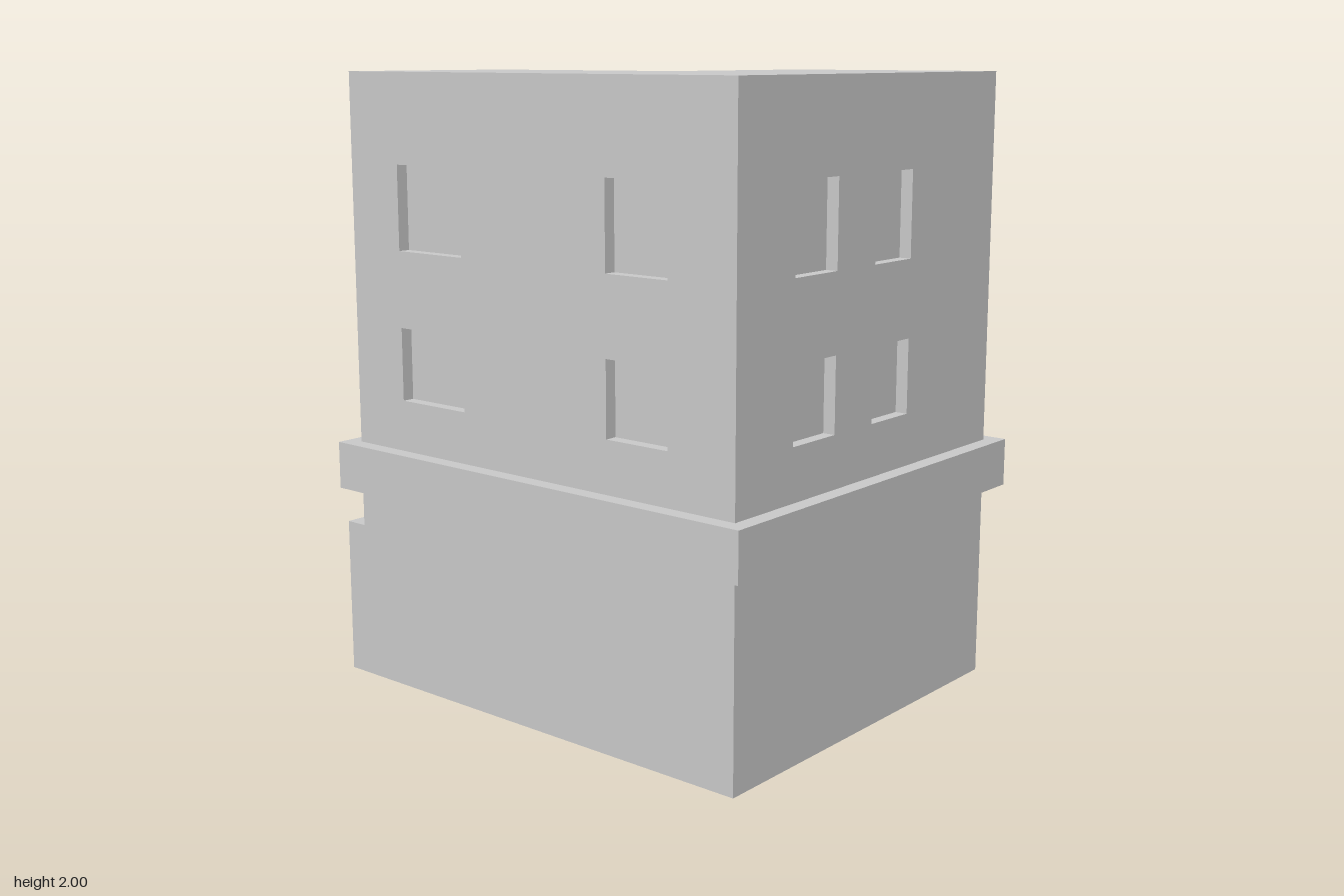
import * as THREE from 'three';

const material = new THREE.MeshStandardMaterial({ color: 0xcccccc, side: THREE.DoubleSide });

// L-shaped footprint: x, z and the outward direction at each corner
const CORNERS = [
  [-0.765, 0.67, -1, 1], [0.79, 0.67, 1, 1], [0.79, -0.67, 1, -1],
  [0.01, -0.67, -1, -1], [0.01, 0, -1, -1], [-0.765, 0, -1, -1],
];
const footprint = (offset) => CORNERS.map(([x, z, sx, sz]) => [x + sx * offset, z + sz * offset]);

const RECESS = 0.04;
const FLOORS = [[0.965, 1.2], [1.445, 1.715]];

function addMesh(parent, name, geometry) {
  const mesh = new THREE.Mesh(geometry, material);
  mesh.name = name;
  parent.add(mesh);
  return mesh;
}

const rectPoints = (x0, x1, y0, y1) => [[x0, y0], [x1, y0], [x1, y1], [x0, y1]]
  .map(([x, y]) => new THREE.Vector2(x, y));

// Box without its outer (+z) face, set behind an opening
function recessGeometry(x0, x1, y0, y1) {
  const box = new THREE.BoxGeometry(x1 - x0, y1 - y0, RECESS);
  const index = Array.from(box.index.array);
  index.splice(24, 6);
  box.setIndex(index);
  box.clearGroups();
  return box.translate((x0 + x1) / 2, (y0 + y1) / 2, -RECESS / 2);
}

// Upright wall from a to b (left to right seen from outside), openings measured from a
function addWall(parent, name, a, b, y0, y1, openings = [], openingName = 'window') {
  const wall = new THREE.Group();
  wall.name = name;
  const dx = b[0] - a[0], dz = b[1] - a[1];
  wall.position.set(a[0], 0, a[1]);
  wall.rotation.y = Math.atan2(-dz, dx);
  const shape = new THREE.Shape(rectPoints(0, Math.hypot(dx, dz), y0, y1));
  for (const o of openings) {
    shape.holes.push(new THREE.Path(rectPoints(...o)));
    addMesh(wall, openingName, recessGeometry(...o));
  }
  addMesh(wall, name + 'Face', new THREE.ShapeGeometry(shape));
  parent.add(wall);
}

// Level sheet from an outline, with an optional hole
function addSheet(parent, name, outline, y, hole) {
  const toVectors = (pts) => pts.map(([x, z]) => new THREE.Vector2(x, -z));
  const shape = new THREE.Shape(toVectors(outline));
  if (hole) shape.holes.push(new THREE.Path(toVectors(hole)));
  const sheet = addMesh(parent, name, new THREE.ShapeGeometry(shape).rotateX(-Math.PI / 2));
  sheet.position.y = y;
}

export function createModel() {
  const model = new THREE.Group();
  model.name = 'building';
  const plan = footprint(0);
  const next = (pts, i) => pts[(i + 1) % pts.length];

  // Upper storeys: window columns per wall, the end wall is left open
  const columns = [
    [[0.215, 0.495], [1.085, 1.315]],
    [[0.265, 0.47], [0.665, 0.86]],
    [[0.24, 0.48]],
    [[0.21, 0.48]],
    [[0.28, 0.56]],
  ];
  columns.forEach((cols, i) => {
    const windows = cols.flatMap((c) => FLOORS.map((f) => [...c, ...f]));
    addWall(model, 'upperWall', plan[i], next(plan, i), 0.8, 2, windows);
  });
  addSheet(model, 'roof', plan, 2);

  // Ground floor, with the door in the inner corner wall
  for (let i = 0; i < 5; i++) {
    const door = i === 3 ? [[0.21, 0.48, 0.005, 0.51]] : [];
    addWall(model, 'groundWall', plan[i], next(plan, i), 0, 0.645, door, 'door');
  }
  addWall(model, 'groundEndWall', plan[5], plan[0], 0.515, 0.645);

  // Low extension on the open end
  const ext = [[-0.765, 0], [-0.845, 0], [-0.845, 0.67], [-0.765, 0.67]];
  for (let i = 0; i < 3; i++) addWall(model, 'extensionWall', ext[i], ext[i + 1], 0, 0.515);
  addSheet(model, 'extensionTop', ext, 0.515);

  // Projecting band between the storeys
  const outer = footprint(0.052), inner = footprint(-0.05);
  outer.forEach((p, i) => addWall(model, 'bandFace', p, next(outer, i), 0.645, 0.8));
  addSheet(model, 'bandTop', outer, 0.8, inner);
  addSheet(model, 'bandBottom', outer, 0.645, inner);

  return model;
}
